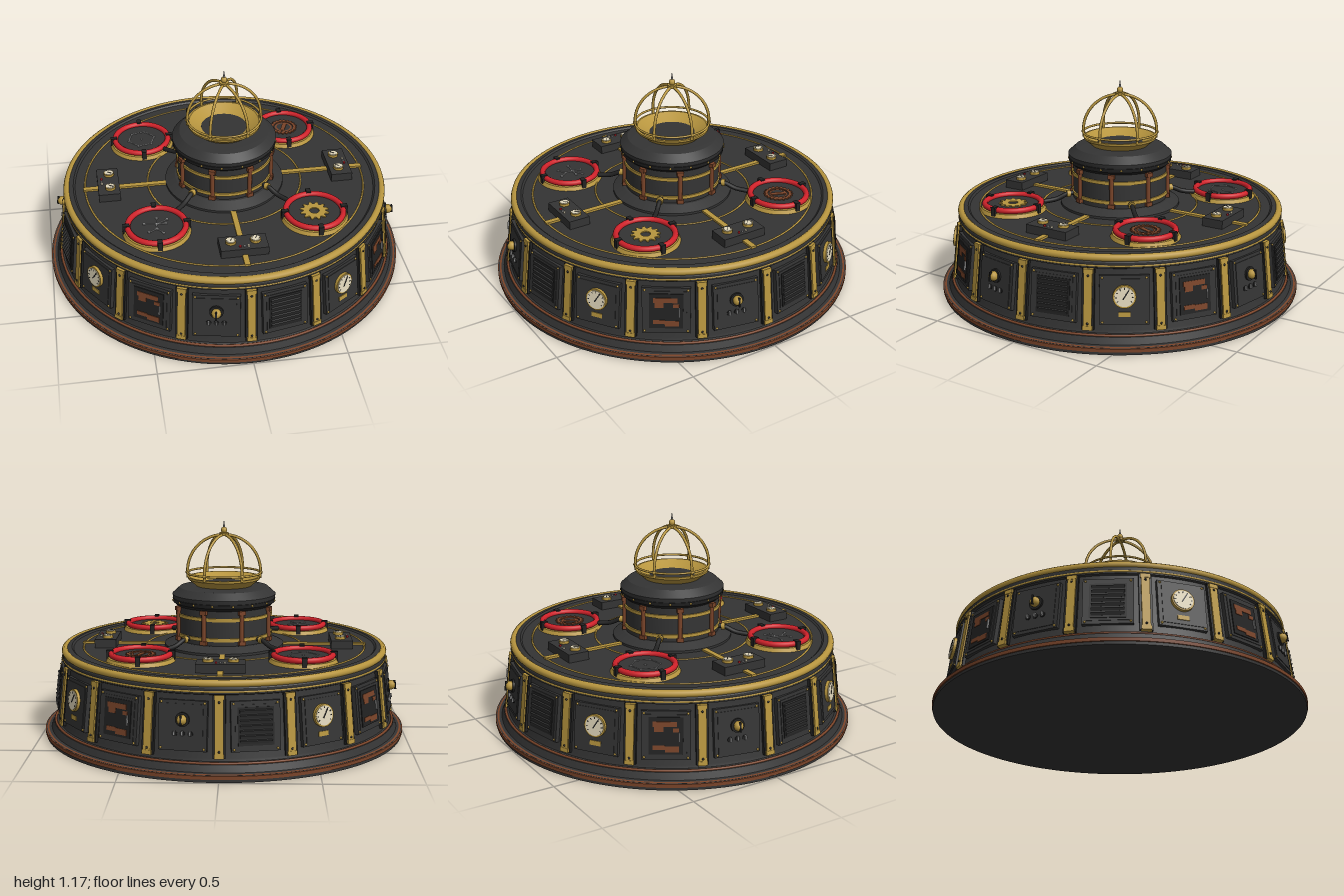
import * as THREE from 'three';
import { toCreasedNormals } from 'three/addons/utils/BufferGeometryUtils.js';

const material = (name, color) => Object.assign(new THREE.MeshStandardMaterial({ color }), { name });
const iron = material('iron', 0x343434);
const darkIron = material('dark iron', 0x222222);
const brass = material('brass', 0xb8963f);
const copper = material('copper', 0x7a4429);
const red = material('red enamel', 0xd0222a);
const cream = material('cream dial', 0xe2d8bc);
const steel = material('steel', 0x8e8e8e);

const TAU = Math.PI * 2;

function add(parent, name, geometry, mat, x = 0, y = 0, z = 0) {
  const m = new THREE.Mesh(geometry, mat);
  m.name = name;
  m.position.set(x, y, z);
  parent.add(m);
  return m;
}
const box = (p, name, mat, w, h, d, x, y, z) => add(p, name, new THREE.BoxGeometry(w, h, d), mat, x, y, z);
const ball = (p, name, mat, r, x, y, z) => add(p, name, new THREE.SphereGeometry(r, 10, 8), mat, x, y, z);
const drum = (p, name, mat, r, h, x, y, z, rTop = r) =>
  add(p, name, new THREE.CylinderGeometry(rTop, r, h, 40), mat, x, y, z);
// disc or dial whose axis points along local z
function dial(p, name, mat, r, d, x, y, z) {
  const m = drum(p, name, mat, r, d, x, y, z);
  m.rotation.x = Math.PI / 2;
  return m;
}
function lathe(p, name, mat, points, segments = 96) {
  const g = new THREE.LatheGeometry(points.map(([r, y]) => new THREE.Vector2(r, y)), segments);
  return add(p, name, toCreasedNormals(g, 0.45), mat);
}
// horizontal ring
function hoop(p, name, mat, r, tube, x, y, z, segments = 96) {
  const m = add(p, name, new THREE.TorusGeometry(r, tube, 10, segments), mat, x, y, z);
  m.rotation.x = Math.PI / 2;
  return m;
}
// thin bar between two points in the local xy plane
function bar(p, name, mat, a, b, width, z) {
  const dx = b[0] - a[0], dy = b[1] - a[1];
  const m = box(p, name, mat, Math.hypot(dx, dy), width, 0.004, (a[0] + b[0]) / 2, (a[1] + b[1]) / 2, z);
  m.rotation.z = Math.atan2(dy, dx);
  return m;
}
// group facing outward at an angle around the y axis
function around(parent, name, angle, r, y, tilt = 0) {
  const g = new THREE.Group();
  g.name = name;
  g.rotation.set(tilt, angle, 0, 'YXZ');
  g.position.set(Math.sin(angle) * r, y, Math.cos(angle) * r);
  parent.add(g);
  return g;
}
function gauge(p, r, x, y, z) {
  dial(p, 'gaugeRim', brass, r * 1.16, 0.02, x, y, z);
  dial(p, 'gaugeFace', cream, r, 0.004, x, y, z + 0.011);
  for (let i = 0; i < 9; i++) {
    const a = -0.6 + (i / 8) * (Math.PI + 1.2), c = Math.cos(a), s = Math.sin(a);
    bar(p, 'gaugeTick', darkIron, [x + c * r * 0.74, y + s * r * 0.74], [x + c * r * 0.92, y + s * r * 0.92], r * 0.09, z + 0.012);
  }
  bar(p, 'gaugeNeedle', darkIron, [x - r * 0.15, y - r * 0.25], [x + r * 0.4, y + r * 0.65], r * 0.12, z + 0.013);
}
function gearShape(teeth, outer, inner, hole) {
  const s = new THREE.Shape();
  for (let i = 0; i < teeth * 4; i++) {
    const a = ((i + 0.5) / (teeth * 4)) * TAU, r = i % 4 < 2 ? outer : inner;
    s[i ? 'lineTo' : 'moveTo'](Math.cos(a) * r, Math.sin(a) * r);
  }
  s.closePath();
  s.holes.push(new THREE.Path().absarc(0, 0, hole, 0, TAU, true));
  return new THREE.ExtrudeGeometry(s, { depth: 0.006, bevelEnabled: false });
}

// side panels: four designs repeated around the wall
const panelDetails = [
  function vent(p) {
    box(p, 'ventBack', darkIron, 0.18, 0.19, 0.008, 0, 0, 0.016);
    for (let i = 0; i < 7; i++) {
      const slat = box(p, 'ventSlat', iron, 0.16, 0.016, 0.008, 0, -0.075 + i * 0.025, 0.022);
      slat.rotation.x = 0.5;
    }
  },
  function gaugePanel(p) {
    gauge(p, 0.05, 0, 0.02, 0.022);
    box(p, 'namePlate', brass, 0.06, 0.024, 0.006, 0, -0.073, 0.017);
  },
  function rustedHatch(p) {
    box(p, 'hatch', darkIron, 0.17, 0.19, 0.01, 0, 0, 0.016);
    const patches = [[-0.005, 0.06, 0.12, 0.026], [-0.035, 0.035, 0.045, 0.03], [0.03, -0.068, 0.07, 0.03], [-0.035, -0.06, 0.06, 0.022], [0.05, 0.03, 0.03, 0.02]];
    for (const [x, y, w, h] of patches) box(p, 'rustPatch', copper, w, h, 0.004, x, y, 0.022);
    box(p, 'hatchHandle', steel, 0.007, 0.05, 0.01, 0.066, -0.005, 0.025);
  },
  function knobPanel(p) {
    dial(p, 'knobBase', darkIron, 0.036, 0.014, 0, 0.03, 0.019);
    ball(p, 'knob', brass, 0.026, 0, 0.03, 0.034);
    box(p, 'knobGrip', darkIron, 0.008, 0.05, 0.012, 0, 0.03, 0.056);
    for (let i = -1; i <= 1; i++) {
      dial(p, 'switchSocket', darkIron, 0.014, 0.008, i * 0.04, -0.04, 0.016);
      box(p, 'switchLever', steel, 0.008, 0.022, 0.012, i * 0.04, -0.038, 0.024);
    }
  },
];

// emblems on the four round pads
const emblems = [
  function brassGear(p) { add(p, 'brassGear', gearShape(12, 0.078, 0.06, 0.026), brass); },
  function copperGear(p) {
    add(p, 'copperGear', gearShape(20, 0.08, 0.07, 0.057), copper);
    add(p, 'copperInnerRing', new THREE.RingGeometry(0.04, 0.05, 32), copper, 0, 0, 0.003);
    bar(p, 'copperBar', copper, [-0.016, -0.038], [0.016, 0.038], 0.024, 0.003);
  },
  function hexagonLinks(p) {
    const at = i => [Math.cos(i * TAU / 6 + 0.2) * 0.078, Math.sin(i * TAU / 6 + 0.2) * 0.078];
    for (let i = 0; i < 6; i++) {
      bar(p, 'link', steel, at(i), at(i + 1), 0.0035, 0.002);
      dial(p, 'node', steel, 0.007, 0.005, ...at(i), 0.002);
    }
    dial(p, 'centreNode', steel, 0.007, 0.005, 0, 0, 0.002);
  },
  function branchLinks(p) {
    const nodes = [[0, 0.015], [0.005, 0.065], [0.06, 0.05], [-0.065, 0.025], [-0.045, -0.05], [0.03, -0.065], [0, -0.025], [0.05, 0.015]];
    for (const [a, b] of [[0, 1], [0, 2], [0, 3], [0, 6], [6, 4], [6, 5], [0, 7]]) bar(p, 'link', steel, nodes[a], nodes[b], 0.006, 0.002);
    for (const n of nodes) dial(p, 'node', steel, 0.008, 0.005, ...n, 0.002);
  },
];

export function createModel() {
  const model = new THREE.Group();
  model.name = 'roundConsole';

  // stepped base, sloping wall and deck
  lathe(model, 'body', iron, [[0, 0], [0.995, 0], [0.995, 0.036], [0.965, 0.04], [0.95, 0.075], [0.925, 0.085], [0.92, 0.1],
    [0.885, 0.41], [0.897, 0.415], [0.897, 0.445], [0.88, 0.478], [0.845, 0.484], [0.835, 0.475], [0, 0.475]], 128);
  lathe(model, 'baseBand', copper, [[0.99, 0.014], [1, 0.016], [1, 0.034], [0.985, 0.038], [0.965, 0.038]], 128);
  hoop(model, 'skirtBand', copper, 0.942, 0.007, 0, 0.08, 0, 128);
  hoop(model, 'rimRail', brass, 0.881, 0.02, 0, 0.465, 0, 128);
  hoop(model, 'corniceLine', brass, 0.894, 0.006, 0, 0.427, 0, 128);

  const tilt = -Math.atan2(0.035, 0.31);
  for (let i = 0; i < 16; i++) {
    const pillar = around(model, 'pillar', i * TAU / 16, 0.905, 0.255, tilt);
    box(pillar, 'pillarBack', darkIron, 0.064, 0.31, 0.024, 0, 0, 0);
    box(pillar, 'pillarFace', brass, 0.042, 0.312, 0.024, 0, 0, 0.008);
    for (const y of [-0.145, 0.145]) {
      box(pillar, 'pillarCap', brass, 0.05, 0.022, 0.032, 0, y, 0.006);
      ball(pillar, 'pillarRivet', darkIron, 0.006, 0, y * 0.84, 0.02);
    }
    const panel = around(model, 'panel', (i + 0.5) * TAU / 16, 0.9025, 0.257, tilt);
    box(panel, 'panelPlate', iron, 0.245, 0.25, 0.026, 0, 0, 0);
    box(panel, 'panelInset', iron, 0.205, 0.215, 0.008, 0, 0, 0.012);
    for (const x of [-0.109, 0.109]) for (const y of [-0.113, 0.113]) ball(panel, 'panelRivet', brass, 0.006, x, y, 0.014);
    panelDetails[i % 4](panel);
  }

  // deck inlays
  for (const r of [0.43, 0.78]) hoop(model, 'deckRing', brass, r, 0.005, 0, 0.476, 0);
  for (let i = 0; i < 4; i++) {
    const station = around(model, 'controlStation', i * TAU / 4, 0, 0.475);
    box(station, 'deckStrip', brass, 0.03, 0.014, 0.46, 0, 0.004, 0.56);
    box(station, 'controlBox', iron, 0.25, 0.046, 0.118, 0, 0.023, 0.65);
    const top = new THREE.Group();
    top.name = 'controlTop';
    top.position.set(0, 0.046, 0.65);
    top.rotation.x = -Math.PI / 2;
    station.add(top);
    for (const x of [-0.065, 0.065]) gauge(top, 0.024, x, 0.008, 0.004);
    [red, steel, cream].forEach((m, k) => dial(top, 'lamp', m, 0.006, 0.01, (k - 1) * 0.022, -0.036, 0.003));
  }

  // round pads on the diagonals, each with a pipe to the tower
  for (const [i, sx, sz] of [[0, 1, 1], [1, 1, -1], [2, -1, -1], [3, -1, 1]]) {
    const pad = new THREE.Group();
    pad.name = 'pad';
    pad.position.set(sx * 0.425, 0.475, sz * 0.425);
    model.add(pad);
    drum(pad, 'padBase', brass, 0.182, 0.02, 0, 0.01, 0, 0.172);
    drum(pad, 'padFloor', iron, 0.15, 0.03, 0, 0.015, 0);
    hoop(pad, 'padRing', red, 0.154, 0.016, 0, 0.036, 0, 56);
    for (let k = 0; k < 4; k++) {
      const clamp = around(pad, 'padClamp', k * TAU / 4, 0.162, 0.03);
      box(clamp, 'clampBlock', darkIron, 0.026, 0.05, 0.036, 0, 0, 0);
    }
    const emblem = new THREE.Group();
    emblem.name = 'padEmblem';
    emblem.position.y = 0.031;
    emblem.rotation.x = -Math.PI / 2;
    pad.add(emblem);
    emblems[i](emblem);

    const pipe = around(model, 'pipe', Math.atan2(sx, sz), 0, 0);
    const path = new THREE.CatmullRomCurve3([[0.26, 0.545], [0.3, 0.54], [0.36, 0.515], [0.43, 0.505]].map(([z, y]) => new THREE.Vector3(0, y, z)));
    add(pipe, 'pipeTube', new THREE.TubeGeometry(path, 16, 0.013, 10), darkIron);
    dial(pipe, 'pipeCollar', brass, 0.019, 0.02, 0, 0.541, 0.292);
  }

  // central tower
  lathe(model, 'towerFoot', iron, [[0.33, 0.474], [0.33, 0.488], [0.275, 0.515], [0.26, 0.515]]);
  lathe(model, 'towerDrum', iron, [[0.26, 0.475], [0.26, 0.71], [0.275, 0.725], [0.283, 0.745], [0.286, 0.765], [0.245, 0.802], [0.2, 0.808], [0, 0.812]]);
  lathe(model, 'towerCapBand', darkIron, [[0.262, 0.705], [0.282, 0.722], [0.285, 0.742], [0.275, 0.745]]);
  for (const y of [0.548, 0.657]) lathe(model, 'towerBand', brass, [[0.255, y - 0.01], [0.267, y - 0.009], [0.267, y + 0.009], [0.255, y + 0.01]]);
  for (let i = 0; i < 8; i++) {
    const post = around(model, 'towerPost', (i + 0.5) * TAU / 8, 0.266, 0);
    add(post, 'postTube', new THREE.CylinderGeometry(0.012, 0.012, 0.18, 12), copper, 0, 0.615, 0);
    for (const y of [0.53, 0.695]) box(post, 'postClamp', copper, 0.036, 0.022, 0.03, 0, y, 0);
  }
  for (let i = 0; i < 16; i++) {
    const a = (i + 0.5) * TAU / 16;
    ball(model, 'capRivet', brass, 0.006, Math.sin(a) * 0.284, 0.733, Math.cos(a) * 0.284);
  }

  // bowl and open cage
  lathe(model, 'bowl', brass, [[0.15, 0.805], [0.165, 0.818], [0.2, 0.846], [0.202, 0.858], [0.19, 0.859], [0.155, 0.838], [0.118, 0.82]], 64);
  drum(model, 'bowlFloor', iron, 0.125, 0.012, 0, 0.818, 0);
  hoop(model, 'cageRing', brass, 0.203, 0.006, 0, 0.88, 0, 64);
  for (let i = 0; i < 3; i++) {
    const rib = add(model, 'cageRib', new THREE.TorusGeometry(0.202, 0.008, 8, 40, Math.PI), brass, 0, 0.888, 0);
    rib.rotation.y = i * Math.PI / 3;
  }
  for (let i = 0; i < 6; i++) {
    const a = Math.PI / 2 + i * TAU / 6;
    add(model, 'cageFoot', new THREE.CylinderGeometry(0.008, 0.008, 0.04, 10), brass, Math.sin(a) * 0.2, 0.87, Math.cos(a) * 0.2);
    ball(model, 'cageJoint', brass, 0.011, Math.sin(a) * 0.203, 0.88, Math.cos(a) * 0.203);
  }
  drum(model, 'finialCollar', brass, 0.026, 0.016, 0, 1.093, 0);
  ball(model, 'finialBall', brass, 0.018, 0, 1.114, 0);
  add(model, 'finialSpike', new THREE.ConeGeometry(0.007, 0.05, 10), steel, 0, 1.15, 0);

  return model;
}
